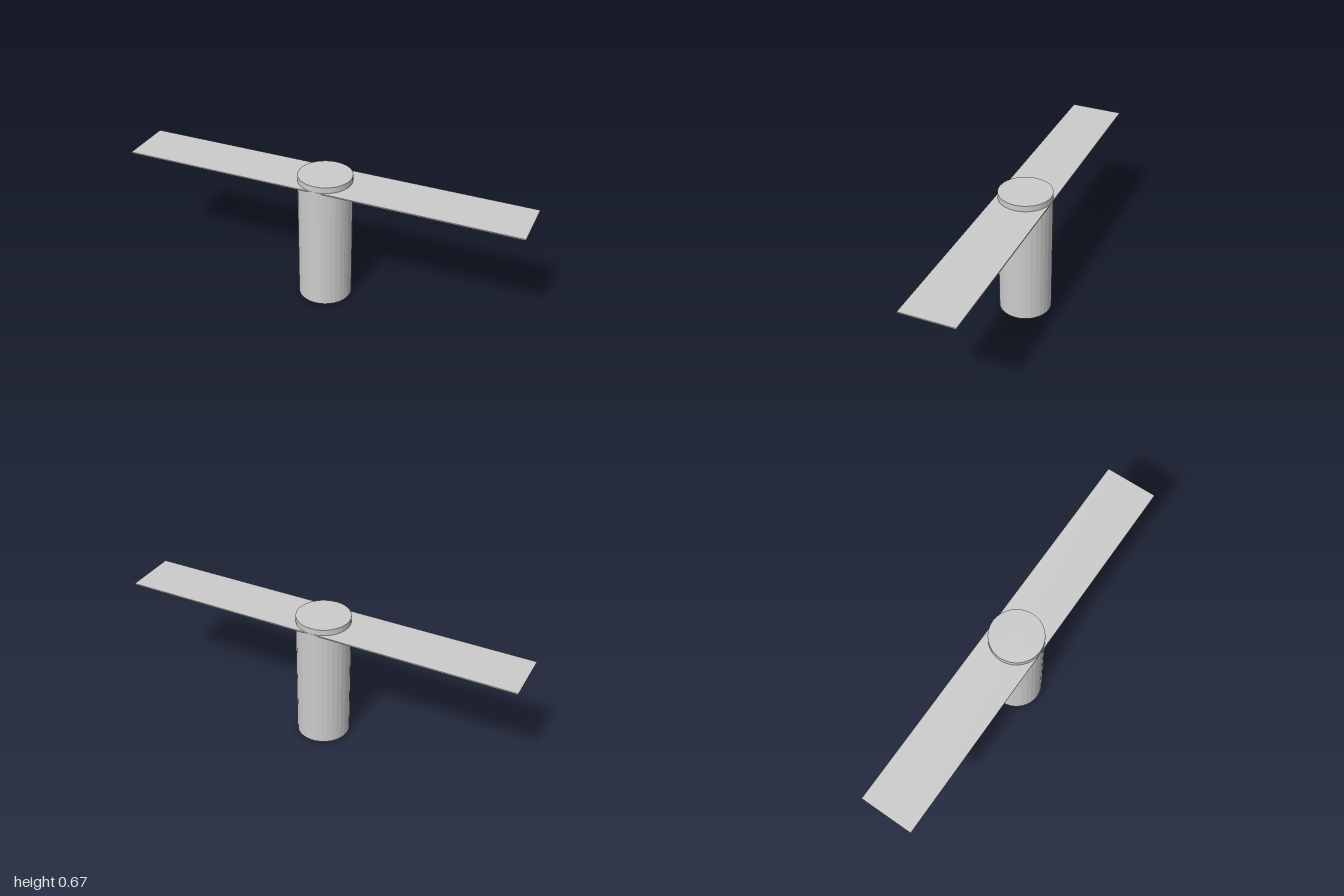
import * as THREE from 'three';

export function createModel() {
  const group = new THREE.Group();
  const material = new THREE.MeshStandardMaterial({ color: 0xcccccc, flatShading: true });

  const add = (name, geometry, y) => {
    const mesh = new THREE.Mesh(geometry, material);
    mesh.name = name;
    mesh.position.y = y;
    group.add(mesh);
  };

  const radius = 0.133;
  const height = 0.667;

  // Upright faceted post, standing on the ground
  add('post', new THREE.CylinderGeometry(radius, radius, height, 32), height / 2);

  // Thin flat blade passing through the post near its top
  add('blade', new THREE.BoxGeometry(2, 0.006, radius * 2), 0.634);

  return group;
}
